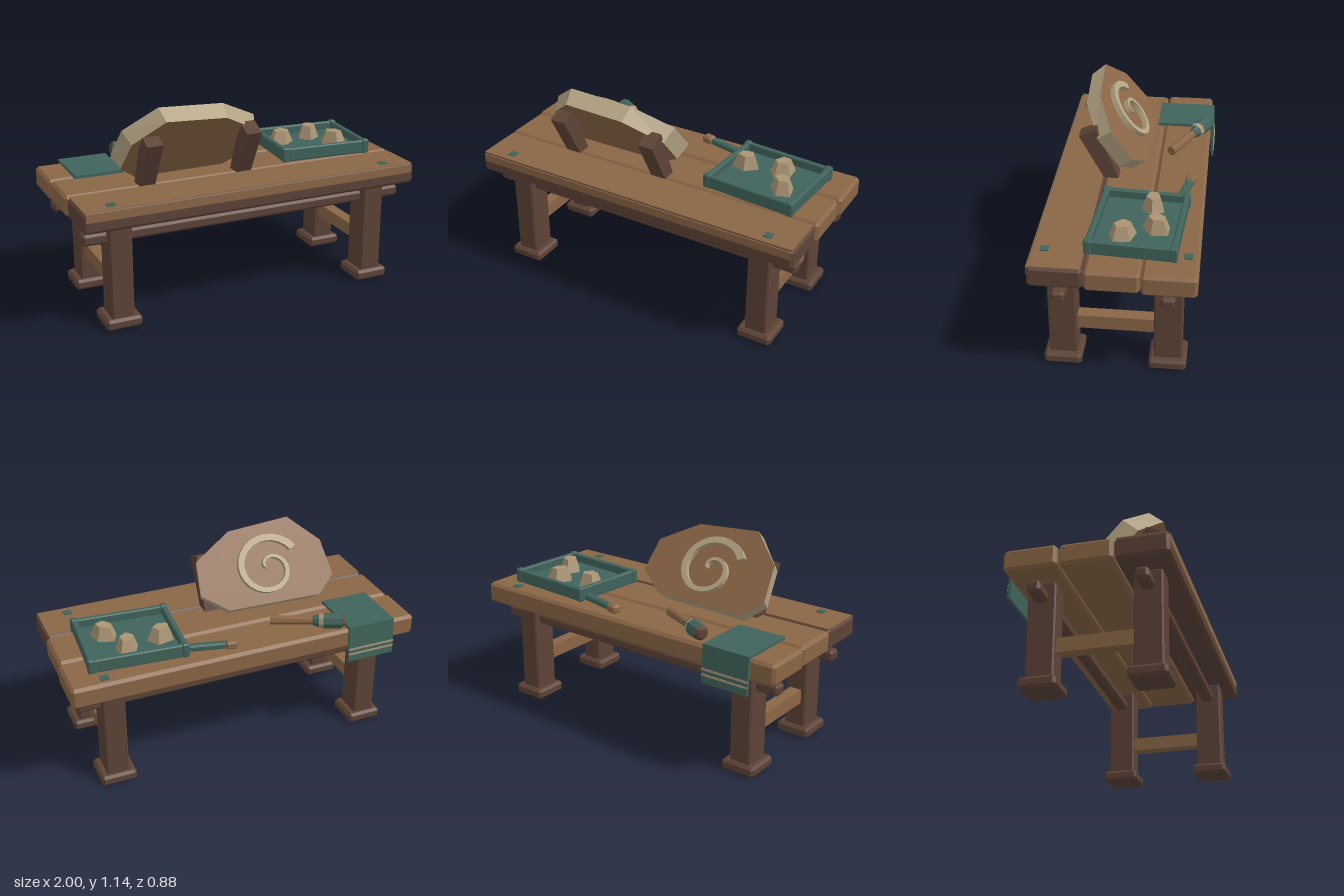
import * as THREE from 'three';
import { ConvexGeometry } from 'three/addons/geometries/ConvexGeometry.js';

const mat = (name, color) => {
  const m = new THREE.MeshStandardMaterial({ color, flatShading: true });
  m.name = name;
  return m;
};

export function createModel() {
  const root = new THREE.Group();
  const wood = mat('wood', 0x8a6646);
  const dark = mat('dark wood', 0x5d4337);
  const teal = mat('teal', 0x40635b);
  const cream = mat('cream stone', 0xb3a383);
  const tan = mat('tan rock', 0xaa9474);

  const add = (name, geo, material, x = 0, y = 0, z = 0, parent = root) => {
    const mesh = new THREE.Mesh(geo, material);
    mesh.name = name;
    mesh.position.set(x, y, z);
    parent.add(mesh);
    return mesh;
  };
  const group = (name, x, y, z) => {
    const g = new THREE.Group();
    g.name = name;
    g.position.set(x, y, z);
    root.add(g);
    return g;
  };
  const box = (w, h, d) => new THREE.BoxGeometry(w, h, d);
  // Box with all edges chamfered by c
  const chamfer = (w, h, d, c = 0.012) => {
    const pts = [];
    for (const i of [-1, 1]) for (const j of [-1, 1]) for (const k of [-1, 1]) {
      const [x, y, z] = [w / 2, h / 2, d / 2];
      pts.push(
        new THREE.Vector3(i * x, j * (y - c), k * (z - c)),
        new THREE.Vector3(i * (x - c), j * y, k * (z - c)),
        new THREE.Vector3(i * (x - c), j * (y - c), k * z));
    }
    return new ConvexGeometry(pts);
  };

  // Table top: three planks, the front one dark with a light top and front lip
  add('backPlank', chamfer(2, 0.118, 0.28, 0.016), wood, 0, 0.641, -0.275);
  add('middlePlank', chamfer(1.98, 0.118, 0.28, 0.016), wood, 0, 0.641, 0.01);
  add('frontPlank', chamfer(1.96, 0.118, 0.28, 0.016), dark, 0, 0.641, 0.295);
  add('frontPlankTop', box(1.94, 0.004, 0.262), wood, 0, 0.7, 0.295);
  add('frontPlankLip', box(1.93, 0.046, 0.006), wood, 0, 0.67, 0.434);

  // Legs, feet, long rails through the legs and short side stretchers
  for (const z of [0.29, -0.265]) {
    for (const x of [-0.763, 0.763]) {
      add('leg', chamfer(0.126, 0.54, 0.15, 0.008), dark, x, 0.315, z);
      add('foot', chamfer(0.2, 0.06, 0.2, 0.014), dark, x, 0.03, z);
    }
    add('longRail', chamfer(1.91, 0.064, 0.072, 0.014), dark, 0, 0.505, z - 0.002);
  }
  for (const x of [-0.763, 0.763]) add('sideStretcher', box(0.07, 0.08, 0.41), wood, x, 0.24, 0.013);

  // Square pegs in the table top
  for (const x of [-0.81, 0.81]) for (const z of [0.367, -0.357])
    add('peg', box(0.044, 0.02, 0.044), teal, x, 0.697, z);

  // Props behind the slab
  for (const x of [-0.535, 0.035]) {
    const pts = [];
    for (const [z, y] of [[0.295, 0.955], [0.197, 1.0], [0.075, 0.7], [0.158, 0.7]])
      for (const dx of [-0.045, 0.045]) pts.push(new THREE.Vector3(dx, y, z));
    add('prop', new ConvexGeometry(pts), dark, x);
  }

  // Leaning slab, carved face looking backward and up
  const slab = group('slab', 0, 0.76, -0.08);
  slab.rotation.x = 0.66;
  const outline = [[-0.57, 0], [-0.01, 0.01], [0.135, 0.12], [0.115, 0.315], [-0.11, 0.452],
    [-0.485, 0.478], [-0.655, 0.31], [-0.68, 0.1]].map(p => new THREE.Vector2(...p));
  const slabGeo = new THREE.ExtrudeGeometry(new THREE.Shape(outline), { depth: 0.1, bevelEnabled: false });
  const p = slabGeo.attributes.position;
  for (let i = 0; i < p.count; i++) // narrower on the underside
    if (p.getZ(i) > 0.05) p.setX(i, -0.27 + (p.getX(i) + 0.27) * 0.93);
  slabGeo.computeVertexNormals();
  add('slabBody', slabGeo, [wood, cream], 0, 0, 0, slab);

  // Raised spiral that tapers towards its centre
  const outer = [], inner = [];
  const steps = 36;
  for (let i = 0; i <= steps; i++) {
    const t = i / steps;
    const a = THREE.MathUtils.degToRad(150 - 510 * t);
    const r = 0.018 + 0.18 * (1 - Math.pow(t, 1.5));
    const w = 0.026 - 0.018 * t;
    const at = q => new THREE.Vector2(-0.295 + Math.cos(a) * q, 0.205 + Math.sin(a) * q * 0.92);
    outer.push(at(r + w * 0.7));
    inner.unshift(at(Math.max(r - w, 0.004)));
  }
  add('spiral', new THREE.ExtrudeGeometry(new THREE.Shape([...outer, ...inner]),
    { depth: 0.032, bevelEnabled: false }), cream, 0, 0, -0.03, slab);

  // Tray with rim, corner posts and handle
  const tray = group('tray', 0.588, 0.7, -0.088);
  tray.rotation.y = -0.07;
  add('trayBase', box(0.53, 0.03, 0.45), teal, 0, 0.018, 0, tray);
  for (const s of [-1, 1]) {
    add('trayLongWall', chamfer(0.53, 0.075, 0.03, 0.006), teal, 0, 0.042, s * 0.217, tray);
    add('trayShortWall', chamfer(0.03, 0.075, 0.45, 0.006), teal, s * 0.254, 0.042, 0, tray);
    for (const k of [-1, 1])
      add('trayPost', chamfer(0.04, 0.082, 0.04, 0.007), teal, s * 0.254, 0.044, k * 0.217, tray);
  }
  const handle = group('trayHandle', 0.335, 0.722, -0.277);
  handle.rotation.y = -0.22;
  add('handleBar', chamfer(0.24, 0.036, 0.042, 0.008), teal, -0.1, 0, 0, handle);
  add('handleTip', chamfer(0.065, 0.046, 0.056, 0.01), wood, -0.25, 0, 0, handle);

  // Rocks in the tray
  [[0.425, -0.15, 0.2], [0.63, -0.185, 1.1], [0.705, -0.015, 2.3]].forEach(([x, z, turn]) => {
    const rock = add('rock', new THREE.CylinderGeometry(0.048, 0.082, 0.08, 5), tan, x, 0.77, z);
    rock.rotation.y = turn;
    rock.scale.z = 0.8;
  });

  // Brush lying on the table, built along its own x axis
  const brush = group('brush', -0.38, 0.744, -0.3);
  brush.rotation.set(0, -0.513, -0.05);
  const round = (name, x0, x1, r0, r1, m) => {
    const g = new THREE.CylinderGeometry(r1, r0, x1 - x0, 8);
    g.rotateZ(-Math.PI / 2);
    add(name, g, m, (x0 + x1) / 2, 0, 0, brush);
  };
  round('brushEnd', -0.205, -0.185, 0.026, 0.042, dark);
  round('brushHead', -0.185, -0.09, 0.042, 0.045, teal);
  round('brushBand', -0.09, -0.065, 0.046, 0.04, tan);
  round('brushCollar', -0.065, -0.03, 0.038, 0.027, teal);
  round('brushGrip', -0.03, 0.205, 0.022, 0.028, wood);

  // Cloth over the back edge with two stripes on the hanging part
  const cloth = group('cloth', -0.72, 0, 0);
  add('clothTop', box(0.28, 0.016, 0.335), teal, 0, 0.709, -0.263, cloth);
  const drop = add('clothDrop', box(0.28, 0.212, 0.016), teal, 0, 0.61, -0.426, cloth);
  drop.rotation.x = 0.06;
  for (const y of [-0.06, -0.03]) add('clothStripe', box(0.28, 0.011, 0.004), tan, 0, y, -0.009, drop);

  return root;
}
